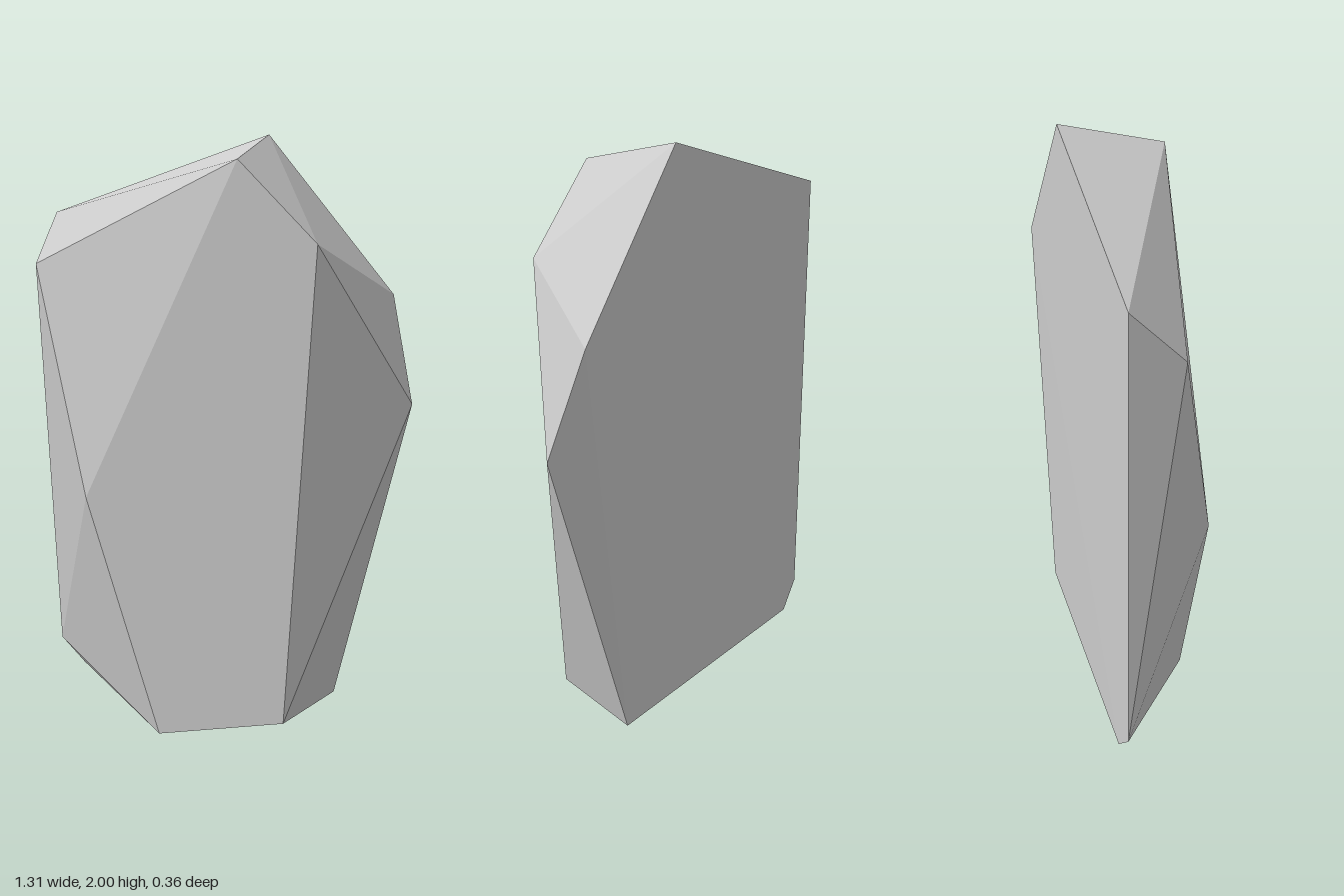
import * as THREE from 'three';
import { ConvexGeometry } from 'three/addons/geometries/ConvexGeometry.js';

export function createModel() {
  const group = new THREE.Group();
  group.name = 'rock';

  // Flat back outline, chipped at the lower left
  const back = [
    [-0.645, 1.745, -0.16], [0.135, 2, -0.175], [0.565, 1.48, -0.183],
    [0.385, 0.09, -0.175], [-0.57, 0.09, -0.17], [-0.655, 0.18, -0.16],
  ];
  // Side corners between back and front
  const sides = [[-0.645, 1.57, 0.01], [0.652, 1.13, -0.1]];
  // Front facets
  const front = [
    [0.14, 1.91, 0.17], [0.4, 1.65, 0.165], [0.305, 0.09, 0.172],
    [-0.13, 0, 0.18], [-0.39, 0.8, 0.18],
  ];

  const corners = [...back, ...sides, ...front].map((p) => new THREE.Vector3(...p));
  const stone = new THREE.Mesh(
    new ConvexGeometry(corners),
    new THREE.MeshStandardMaterial({ color: 0xcccccc, flatShading: true })
  );
  stone.name = 'facetedStone';
  group.add(stone);
  return group;
}
